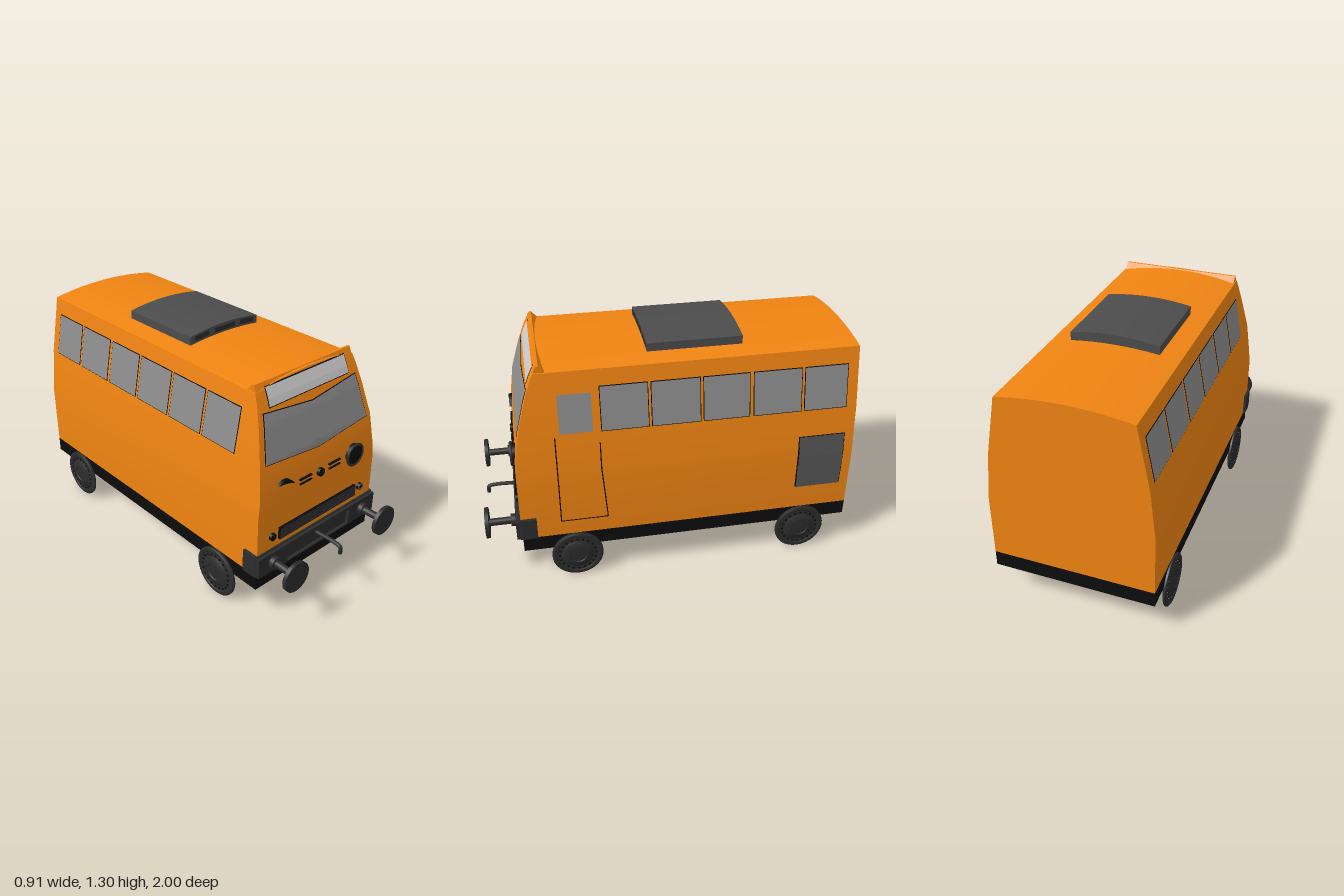
import * as THREE from 'three';
import { toCreasedNormals } from 'three/addons/utils/BufferGeometryUtils.js';
import { ParametricGeometry } from 'three/addons/geometries/ParametricGeometry.js';

const mat = (color) => new THREE.MeshStandardMaterial({ color, side: THREE.DoubleSide });
const ORANGE = mat(0xf08412), BLACK = mat(0x0c0c0c), DARK = mat(0x2c2c2c);
const GREY = mat(0x4c4c4c), GLASS = mat(0x8c8c8c), SIGN = mat(0xcccccc);

// piecewise-linear lookup
function lookup(table, y) {
  for (let i = 1; i < table.length; i++) {
    const [y0, a] = table[i - 1], [y1, b] = table[i];
    if (y <= y1 || i === table.length - 1) return a + (b - a) * (y - y0) / (y1 - y0);
  }
}
const halfWidth = (y) => lookup([[0.28, 0.43], [0.62, 0.43], [0.89, 0.402], [1.215, 0.341]], y);
const noseZ = (y) => lookup([[0.28, 0.815], [0.7, 0.812], [0.89, 0.785], [1.06, 0.738], [1.17, 0.7], [1.25, 0.663]], y);
const lerp = THREE.MathUtils.lerp;

export function createModel() {
  const root = new THREE.Group();
  function add(name, geo, material, x = 0, y = 0, z = 0, parent = root) {
    const m = new THREE.Mesh(geo, material);
    m.name = name;
    m.position.set(x, y, z);
    parent.add(m);
    return m;
  }
  const box = (name, w, h, d, m, x, y, z) => add(name, new THREE.BoxGeometry(w, h, d), m, x, y, z);
  const disc = (name, r, d, m, x, y, z, seg = 32) =>
    add(name, new THREE.CylinderGeometry(r, r, d, seg).rotateX(Math.PI / 2), m, x, y, z);
  const poly = (pts) => new THREE.Shape(pts.map(([x, y]) => new THREE.Vector2(x, y)));
  const extrude = (shape, depth) => new THREE.ExtrudeGeometry(shape, { depth, bevelEnabled: false, curveSegments: 16 });

  // panel lying on the side wall; corners are [z, y]: bottom start, bottom end, top end, top start
  function sidePanel(name, s, [a, b, c, d], m, off = 0.003, offLow = off) {
    add(name, new ParametricGeometry((u, v, t) => {
      const y = lerp(lerp(a[1], b[1], u), lerp(d[1], c[1], u), v);
      const z = lerp(lerp(a[0], b[0], u), lerp(d[0], c[0], u), v);
      t.set(s * (halfWidth(y) + lerp(offLow, off, v)), y, z);
    }, 2, 8), m);
  }
  function sideRect(name, s, z0, z1, y0, y1, m, off, offLow) {
    const [p, q] = s > 0 ? [z1, z0] : [z0, z1];
    sidePanel(name, s, [[p, y0], [q, y0], [q, y1], [p, y1]], m, off, offLow);
  }
  // panel lying on the nose; low and high give its edges as functions of x/half width
  function nosePanel(name, wLow, wHigh, low, high, m, off = 0.004) {
    add(name, new ParametricGeometry((u, v, t) => {
      const k = 2 * u - 1, y = lerp(low(k), high(k), v);
      t.set(k * lerp(wLow, wHigh, v), y, noseZ(y) + off);
    }, 12, 14), m);
  }

  // body shell: walls, nose, back and crowned roof
  const pos = [];
  const quad = (a, b, c, d) => pos.push(...a, ...b, ...c, ...a, ...c, ...d);
  const levels = [0.28, 0.62, 0.7, 0.89, 1.06, 1.17, 1.215];
  for (let i = 1; i < levels.length; i++) {
    const ring = [levels[i - 1], levels[i]].map((y) => {
      const w = halfWidth(y), z = noseZ(y);
      return [[-w, y, z], [w, y, z], [w, y, -1], [-w, y, -1]];
    });
    for (let k = 0; k < 4; k++) {
      const n = (k + 1) % 4;
      quad(ring[0][k], ring[0][n], ring[1][n], ring[1][k]);
    }
  }
  const eave = 1.215, N = 12, roofW = halfWidth(eave), roofZ = noseZ(eave);
  const crown = (x) => eave + 0.031 * (1 - (x / roofW) ** 2);
  for (let i = 0; i < N; i++) {
    const x0 = roofW * (2 * i / N - 1), x1 = roofW * (2 * (i + 1) / N - 1);
    const y0 = crown(x0), y1 = crown(x1);
    quad([x0, y0, roofZ], [x1, y1, roofZ], [x1, y1, -1], [x0, y0, -1]);
    quad([x1, eave, -1], [x0, eave, -1], [x0, y0, -1], [x1, y1, -1]);
  }
  const shell = new THREE.BufferGeometry();
  shell.setAttribute('position', new THREE.Float32BufferAttribute(pos, 3));
  add('bodyShell', toCreasedNormals(shell, 0.35), ORANGE);

  // raised lip where nose meets roof
  const lip = extrude(poly([[-0.679, 1.215], [-0.663, 1.25], [-0.65, 1.25], [-0.62, 1.215]]), 0.672);
  add('roofLip', lip.rotateY(Math.PI / 2), ORANGE, -0.336);

  box('underframe', 0.86, 0.086, 1.81, BLACK, 0, 0.238, -0.095);

  // side windows
  const bays = [[-0.94, -0.71], [-0.69, -0.435], [-0.41, -0.17], [-0.15, 0.1], [0.12, 0.36]];
  for (const s of [1, -1]) {
    const all = s > 0 ? bays : [...bays, [0.38, 0.61]];
    for (const [z0, z1] of all) {
      sideRect('windowFrame', s, z0 - 0.004, z1 + 0.004, 0.891, 1.129, BLACK, 0.002);
      sideRect('sideWindow', s, z0, z1, 0.895, 1.125, GLASS, 0.004);
    }
  }

  // door on the left side
  sideRect('doorWindow', 1, 0.405, 0.575, 0.895, 1.1, GLASS, 0.004);
  const seams = [[0.6, 0.37, 0.6, 0.88], [0.35, 0.37, 0.373, 0.68], [0.373, 0.68, 0.373, 0.83]];
  for (const [z0, y0, z1, y1] of seams)
    sidePanel('doorSeam', 1, [[z0 + 0.003, y0], [z0 - 0.003, y0], [z1 - 0.003, y1], [z1 + 0.003, y1]], BLACK, 0.002);
  sideRect('doorSill', 1, 0.35, 0.6, 0.367, 0.373, BLACK, 0.002);

  // louvred vent
  sideRect('ventBack', 1, -0.95, -0.69, 0.42, 0.74, BLACK, 0.002);
  for (let i = 0; i < 9; i++) {
    const y = 0.425 + i * 0.035;
    sideRect('ventSlat', 1, -0.945, -0.695, y, y + 0.031, GREY, 0.003, 0.012);
  }

  // windscreen and destination panel
  nosePanel('windscreenFrame', 0.37, 0.329, (k) => 0.851 + 0.035 * Math.abs(k), (k) => 1.089 + 0.035 * Math.abs(k), BLACK, 0.002);
  nosePanel('windscreen', 0.366, 0.325, (k) => 0.855 + 0.035 * Math.abs(k), (k) => 1.085 + 0.035 * Math.abs(k), GLASS);
  nosePanel('signFrame', 0.284, 0.28, () => 1.133, () => 1.231, BLACK, 0.002);
  nosePanel('signPanel', 0.28, 0.276, () => 1.138, () => 1.226, SIGN);

  // face: open lamp, winking lid, nose button, whiskers
  disc('headlamp', 0.056, 0.03, BLACK, 0.255, 0.715, 0.815);
  add('headlampRim', new THREE.TorusGeometry(0.058, 0.008, 10, 40), DARK, 0.255, 0.715, 0.826);
  const wink = new THREE.Shape();
  wink.moveTo(-0.302, 0.763);
  wink.quadraticCurveTo(-0.245, 0.805, -0.195, 0.738);
  wink.quadraticCurveTo(-0.25, 0.762, -0.302, 0.763);
  add('winkingLid', extrude(wink, 0.018), BLACK, 0, 0, 0.803);
  disc('noseButton', 0.023, 0.02, BLACK, 0, 0.715, 0.815);
  for (const s of [1, -1])
    for (const y of [0.704, 0.729]) box('whisker', 0.086, 0.007, 0.012, BLACK, s * 0.107, y, 0.813);

  // grille and marker lamps
  box('grille', 0.574, 0.066, 0.018, BLACK, 0, 0.48, 0.819);
  for (let i = 0; i < 4; i++) box('grilleSlat', 0.57, 0.011, 0.01, DARK, 0, 0.456 + i * 0.016, 0.826);
  for (const s of [1, -1]) disc('markerLamp', 0.02, 0.02, BLACK, s * 0.332, 0.482, 0.818);
  add('markerRim', new THREE.TorusGeometry(0.016, 0.004, 8, 24), GREY, 0.332, 0.482, 0.828);

  // bumper with recessed centre
  const beam = extrude(poly([[-0.445, -0.73], [-0.445, -0.815], [-0.44, -0.822], [0.44, -0.822], [0.445, -0.815], [0.445, -0.73]]), 0.125);
  add('bumperBeam', beam.rotateX(-Math.PI / 2), DARK, 0, 0.284);
  const face = poly([[-0.442, 0.288], [0.442, 0.288], [0.442, 0.402], [-0.442, 0.402]]);
  face.holes.push(poly([[-0.235, 0.295], [-0.235, 0.385], [0.235, 0.385], [0.235, 0.295]]));
  add('bumperFace', extrude(face, 0.02), DARK, 0, 0, 0.82);
  const hook = new THREE.CatmullRomCurve3([[0.345, 0.82], [0.348, 0.94], [0.34, 0.98], [0.3, 0.985]]
    .map(([y, z]) => new THREE.Vector3(0, y, z)));
  add('couplingHook', new THREE.TubeGeometry(hook, 24, 0.011, 10), DARK);

  // buffers and wheels
  const wheelProfile = [[0, 0.425], [0.132, 0.425], [0.14, 0.43], [0.14, 0.44], [0.132, 0.445], [0.118, 0.445],
    [0.112, 0.441], [0.088, 0.441], [0.075, 0.449], [0.05, 0.454], [0.045, 0.45], [0, 0.455]]
    .map(([r, h]) => new THREE.Vector2(r, h));
  const wheelGeo = toCreasedNormals(new THREE.LatheGeometry(wheelProfile, 40).rotateZ(-Math.PI / 2), 0.5);
  const boltGeo = new THREE.CylinderGeometry(0.006, 0.006, 0.006, 8).rotateZ(Math.PI / 2);
  for (const s of [1, -1]) {
    disc('bufferBase', 0.034, 0.03, DARK, s * 0.34, 0.345, 0.85);
    disc('bufferStem', 0.02, 0.15, DARK, s * 0.34, 0.345, 0.91);
    disc('bufferHead', 0.083, 0.02, DARK, s * 0.34, 0.345, 0.99, 40);
    for (const z of [0.525, -0.74]) {
      const wheel = new THREE.Group();
      wheel.name = 'wheel';
      wheel.position.set(0, 0.14, z);
      wheel.rotation.y = s > 0 ? 0 : Math.PI;
      root.add(wheel);
      add('wheelDisc', wheelGeo, DARK, 0, 0, 0, wheel);
      for (let i = 0; i < 20; i++) {
        const a = i / 20 * Math.PI * 2;
        add('wheelBolt', boltGeo, BLACK, 0.442, 0.1 * Math.sin(a), 0.1 * Math.cos(a), wheel);
      }
    }
  }

  // curved roof unit with three front intakes
  const pod = new THREE.Shape();
  pod.moveTo(-0.235, 1.228);
  pod.lineTo(0.235, 1.228);
  pod.lineTo(0.235, 1.276);
  pod.quadraticCurveTo(0, 1.318, -0.235, 1.276);
  add('roofUnit', toCreasedNormals(extrude(pod, 0.5), 0.5), GREY, 0, 0, -0.4);
  for (const [x, w, tilt] of [[-0.157, 0.095, 0.1], [0, 0.14, 0], [0.157, 0.095, -0.1]])
    box('roofIntake', w, 0.026, 0.006, DARK, x, 1.27 - Math.abs(x) * 0.03, 0.1).rotation.z = tilt;

  return root;
}
